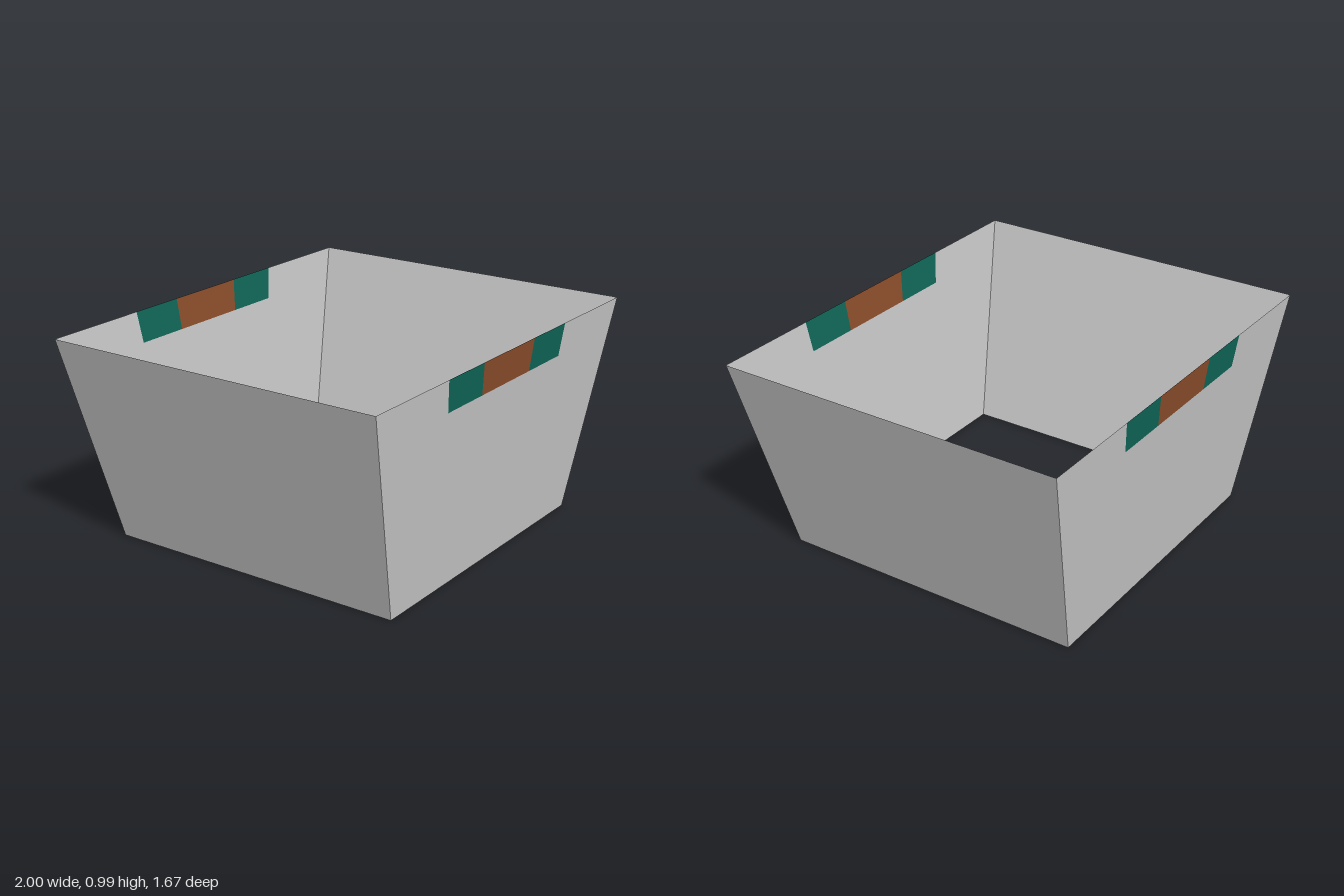
import * as THREE from 'three';

const HEIGHT = 0.99, BASE = 0.735, TOP_X = 1, TOP_Z = 0.835;
const BAND_Y = 0.84; // lower edge of the coloured band

const material = (name, color) =>
  new THREE.MeshStandardMaterial({ name, color, side: THREE.DoubleSide });

// Flat outline leaned outwards so that it lies on a sloping wall
function panel(name, points, topDepth, mat) {
  const shape = new THREE.Shape(points.map(([x, y]) => new THREE.Vector2(x, y)));
  const geometry = new THREE.ShapeGeometry(shape);
  const pos = geometry.attributes.position;
  for (let i = 0; i < pos.count; i++) {
    pos.setZ(i, BASE + (topDepth - BASE) * pos.getY(i) / HEIGHT);
  }
  geometry.computeVertexNormals();
  const mesh = new THREE.Mesh(geometry, mat);
  mesh.name = name;
  return mesh;
}

export function createModel() {
  const grey = material('light grey', 0xcccccc);
  const green = material('dark green', 0x10695a);
  const brown = material('brown', 0x8f4f2d);
  const model = new THREE.Group();
  model.name = 'openTaperedBox';

  // Front and back walls, notched around the band inlaid at the rim
  for (const [name, turn] of [['front', 0], ['back', Math.PI]]) {
    const wall = new THREE.Group();
    wall.name = name + 'Wall';
    wall.rotation.y = turn;
    wall.add(panel('wallPanel', [
      [-BASE, 0], [BASE, 0], [TOP_X, HEIGHT], [0.485, HEIGHT], [0.463, BAND_Y],
      [-0.463, BAND_Y], [-0.485, HEIGHT], [-TOP_X, HEIGHT],
    ], TOP_Z, grey));
    wall.add(panel('bandCentre', [
      [-0.197, BAND_Y], [0.197, BAND_Y], [0.21, HEIGHT], [-0.21, HEIGHT],
    ], TOP_Z, brown));
    wall.add(panel('bandRight', [
      [-0.463, BAND_Y], [-0.197, BAND_Y], [-0.21, HEIGHT], [-0.485, HEIGHT],
    ], TOP_Z, green));
    wall.add(panel('bandLeft', [
      [0.197, BAND_Y], [0.463, BAND_Y], [0.485, HEIGHT], [0.21, HEIGHT],
    ], TOP_Z, green));
    model.add(wall);
  }

  // Plain side walls; the box is open at top and bottom
  for (const [name, turn] of [['left', Math.PI / 2], ['right', -Math.PI / 2]]) {
    const wall = panel(name + 'Wall', [
      [-BASE, 0], [BASE, 0], [TOP_Z, HEIGHT], [-TOP_Z, HEIGHT],
    ], TOP_X, grey);
    wall.rotation.y = turn;
    model.add(wall);
  }
  return model;
}
